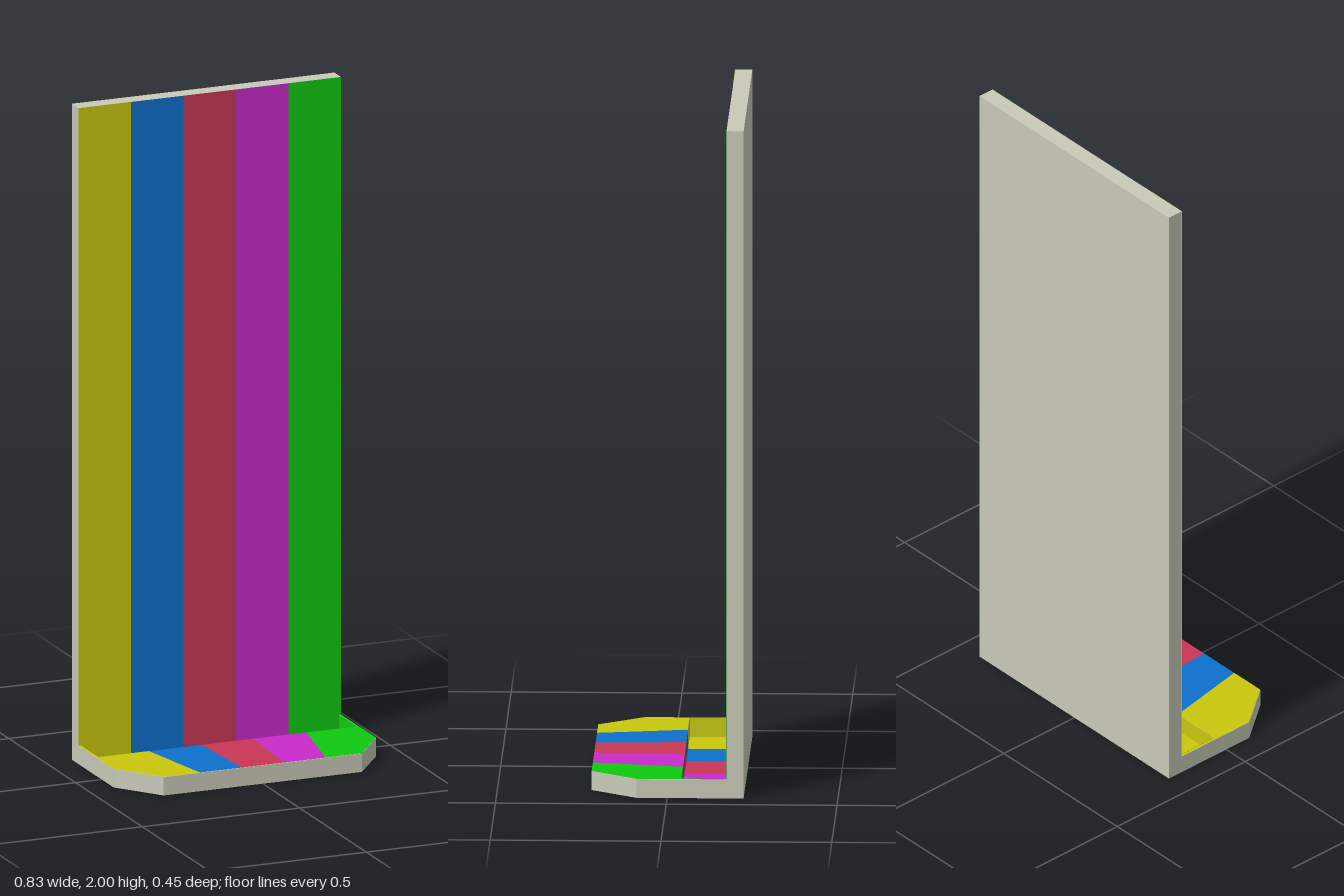
import * as THREE from 'three';

const GREY = 0xc8cab8;
const COLOURS = [0xcac80e, 0x0d70cb, 0xc93755, 0xc82bcc, 0x0fca10];
const BACK_X = [-0.417, -0.25, -0.083, 0.083, 0.25, 0.417];
const FRONT_X = [-0.315, -0.2, -0.067, 0.067, 0.2, 0.315];
const HALF = 0.417, HEIGHT = 2, BASE_TOP = 0.057;
const WALL_BACK = -0.224, WALL_FRONT = -0.173, FRONT = 0.224;
const SLOT_X = 0.411, SLOT_Z = -0.04, CHAMFER_Z = 0.09;
const SKIN = 0.001; // thickness allowance for the coloured faces

function add(group, name, geometry, color, side = THREE.FrontSide) {
  const mesh = new THREE.Mesh(geometry, new THREE.MeshStandardMaterial({ color, side, flatShading: true }));
  mesh.name = name;
  group.add(mesh);
  return mesh;
}

// Flat convex polygon from corner points, as a triangle fan.
function polygon(points) {
  const positions = [];
  for (let i = 1; i < points.length - 1; i++) positions.push(...points[0], ...points[i], ...points[i + 1]);
  const geometry = new THREE.BufferGeometry();
  geometry.setAttribute('position', new THREE.Float32BufferAttribute(positions, 3));
  geometry.computeVertexNormals();
  return geometry;
}

export function createModel() {
  const model = new THREE.Group();
  model.name = 'stripedStand';

  // Upright back panel
  const depth = WALL_FRONT - SKIN - WALL_BACK;
  const panel = add(model, 'backPanel', new THREE.BoxGeometry(HALF * 2, HEIGHT, depth), GREY);
  panel.position.set(0, HEIGHT / 2, WALL_BACK + depth / 2);

  // Base plate with chamfered front corners and a slot beside the panel
  const outline = new THREE.Shape([
    [-HALF, WALL_FRONT - SKIN], [-SLOT_X, WALL_FRONT - SKIN], [-SLOT_X, SLOT_Z], [SLOT_X, SLOT_Z],
    [SLOT_X, WALL_FRONT - SKIN], [HALF, WALL_FRONT - SKIN], [HALF, CHAMFER_Z],
    [FRONT_X[5], FRONT], [FRONT_X[0], FRONT], [-HALF, CHAMFER_Z],
  ].map(([x, z]) => new THREE.Vector2(x, -z)));
  const plate = new THREE.ExtrudeGeometry(outline, { depth: BASE_TOP - SKIN, bevelEnabled: false });
  plate.rotateX(-Math.PI / 2);
  add(model, 'basePlate', plate, GREY);

  // One coloured stripe runs down the panel, across the slot and over the base
  COLOURS.forEach((color, i) => {
    const stripe = new THREE.Group();
    stripe.name = `stripe${i + 1}`;
    model.add(stripe);
    const a = BACK_X[i], b = BACK_X[i + 1];
    const sa = Math.max(a, -SLOT_X), sb = Math.min(b, SLOT_X);
    const face = (name, points) => add(stripe, name, polygon(points), color, THREE.DoubleSide);

    face('panelStripe', [[a, 0, WALL_FRONT], [b, 0, WALL_FRONT], [b, HEIGHT, WALL_FRONT], [a, HEIGHT, WALL_FRONT]]);
    face('slotFloor', [[sa, 0, SLOT_Z], [sb, 0, SLOT_Z], [sb, 0, WALL_FRONT], [sa, 0, WALL_FRONT]]);
    const lip = SLOT_Z - SKIN;
    face('slotFront', [[sb, 0, lip], [sa, 0, lip], [sa, BASE_TOP, lip], [sb, BASE_TOP, lip]]);

    // Base top, with the end stripes following the chamfers
    const top = [[a, SLOT_Z]];
    if (i === 0) top.push([a, CHAMFER_Z]);
    top.push([FRONT_X[i], FRONT], [FRONT_X[i + 1], FRONT]);
    if (i === 4) top.push([b, CHAMFER_Z]);
    top.push([b, SLOT_Z]);
    face('baseStripe', top.map(([x, z]) => [x, BASE_TOP, z]));

    // Slot ends and thin rims beside them
    if (i === 0 || i === 4) {
      const s = i === 0 ? -1 : 1, x = s * (SLOT_X - SKIN);
      const end = [[x, 0, WALL_FRONT], [x, BASE_TOP, WALL_FRONT], [x, BASE_TOP, SLOT_Z], [x, 0, SLOT_Z]];
      const rim = [[s * SLOT_X, BASE_TOP, WALL_FRONT], [s * HALF, BASE_TOP, WALL_FRONT],
        [s * HALF, BASE_TOP, SLOT_Z], [s * SLOT_X, BASE_TOP, SLOT_Z]];
      face('slotEnd', s < 0 ? end : end.reverse());
      face('slotRim', s < 0 ? rim : rim.reverse());
    }
  });
  return model;
}
